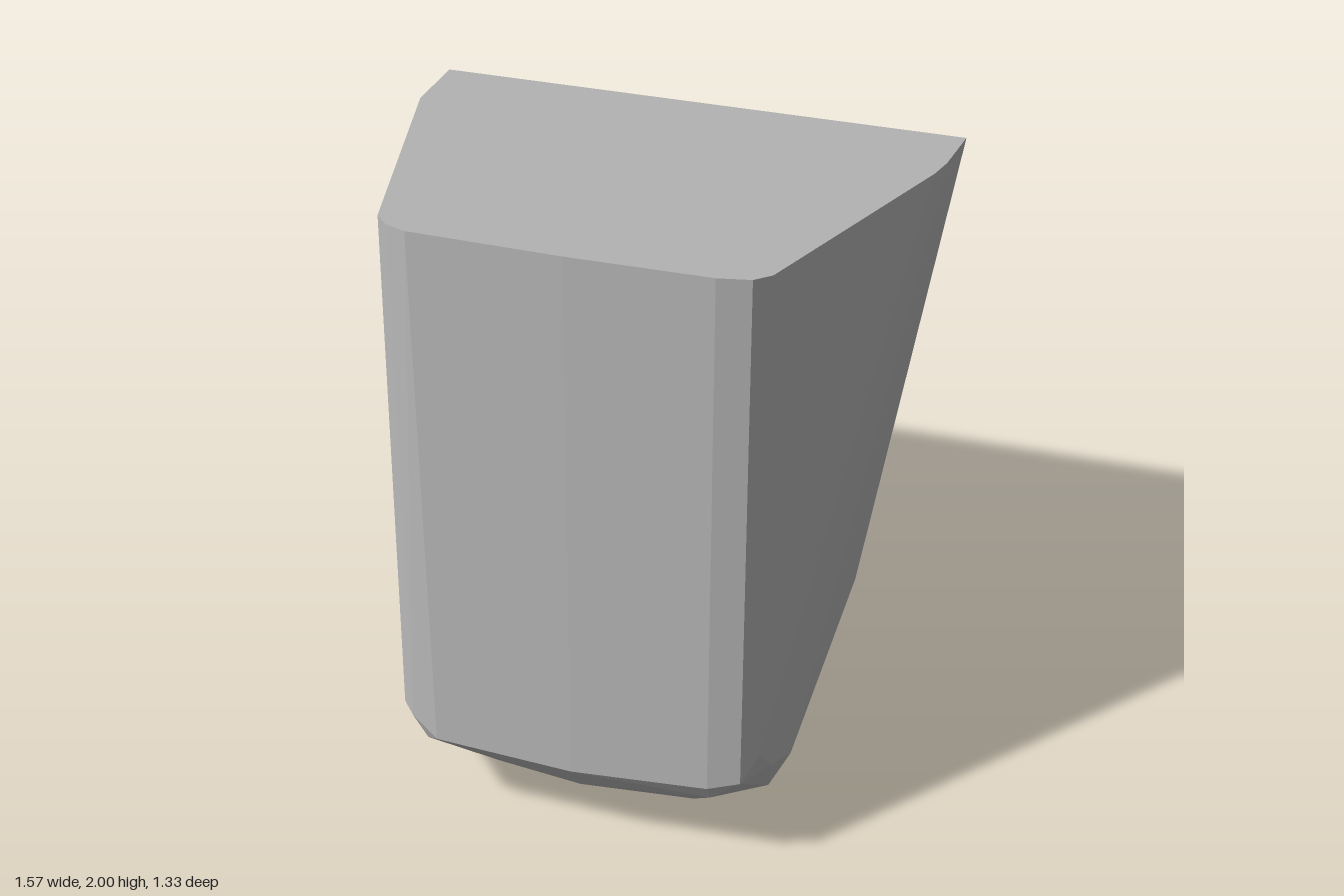
import * as THREE from 'three';
import { ConvexGeometry } from 'three/addons/geometries/ConvexGeometry.js';

export function createModel() {
  const group = new THREE.Group();
  group.name = 'facetedBlock';
  const grey = new THREE.MeshStandardMaterial({ color: 0xbababa });
  grey.name = 'plain grey';
  grey.flatShading = true;

  // Sloping lid outline as [x, z]; height follows the slope
  const lid = [
    [0.785, -0.665], [0.775, -0.43], [0.76, -0.33], [0.53, 0.58], [0.49, 0.63], [0.40, 0.655], [0, 0.665],
    [-0.43, 0.655], [-0.49, 0.63], [-0.535, 0.575], [-0.77, -0.36], [-0.785, -0.645],
  ].map(([x, z]) => [x, 1.894 + 0.159 * z, z]);

  // Rounded lower edge of the back face as [x, y]
  const back = [
    [0.54, 0.21], [0.35, 0.055], [0.14, 0], [-0.16, 0], [-0.36, 0.06], [-0.54, 0.18],
  ].map(([x, y]) => [x, y, -0.59 - 0.035 * y - 0.006 * x]);

  // Lower end of the upright front face
  const frontRim = [
    [0.53, 0.42, 0.58], [0.49, 0.35, 0.63], [0.40, 0.33, 0.655], [0, 0.305, 0.665],
    [-0.41, 0.32, 0.655], [-0.49, 0.37, 0.63], [-0.535, 0.37, 0.575],
  ];

  // Bevelled chin and lower corners
  const chin = [
    [0.40, 0.27, 0.62], [0, 0.19, 0.58], [-0.45, 0.29, 0.62],
    [0.3, 0.085, 0.43], [0, 0.075, 0.445], [-0.3, 0.085, 0.43],
    [0.535, 0.28, 0.44], [0.5, 0.105, 0.33], [0.543, 0.165, 0.24],
    [-0.5, 0.1, 0.33], [-0.545, 0.145, 0.24],
  ];

  // One convex solid through all the cross-sections
  const points = [...lid, ...back, ...frontRim, ...chin].map((p) => new THREE.Vector3(...p));
  const body = new THREE.Mesh(new ConvexGeometry(points), grey);
  body.name = 'body';
  group.add(body);
  return group;
}
